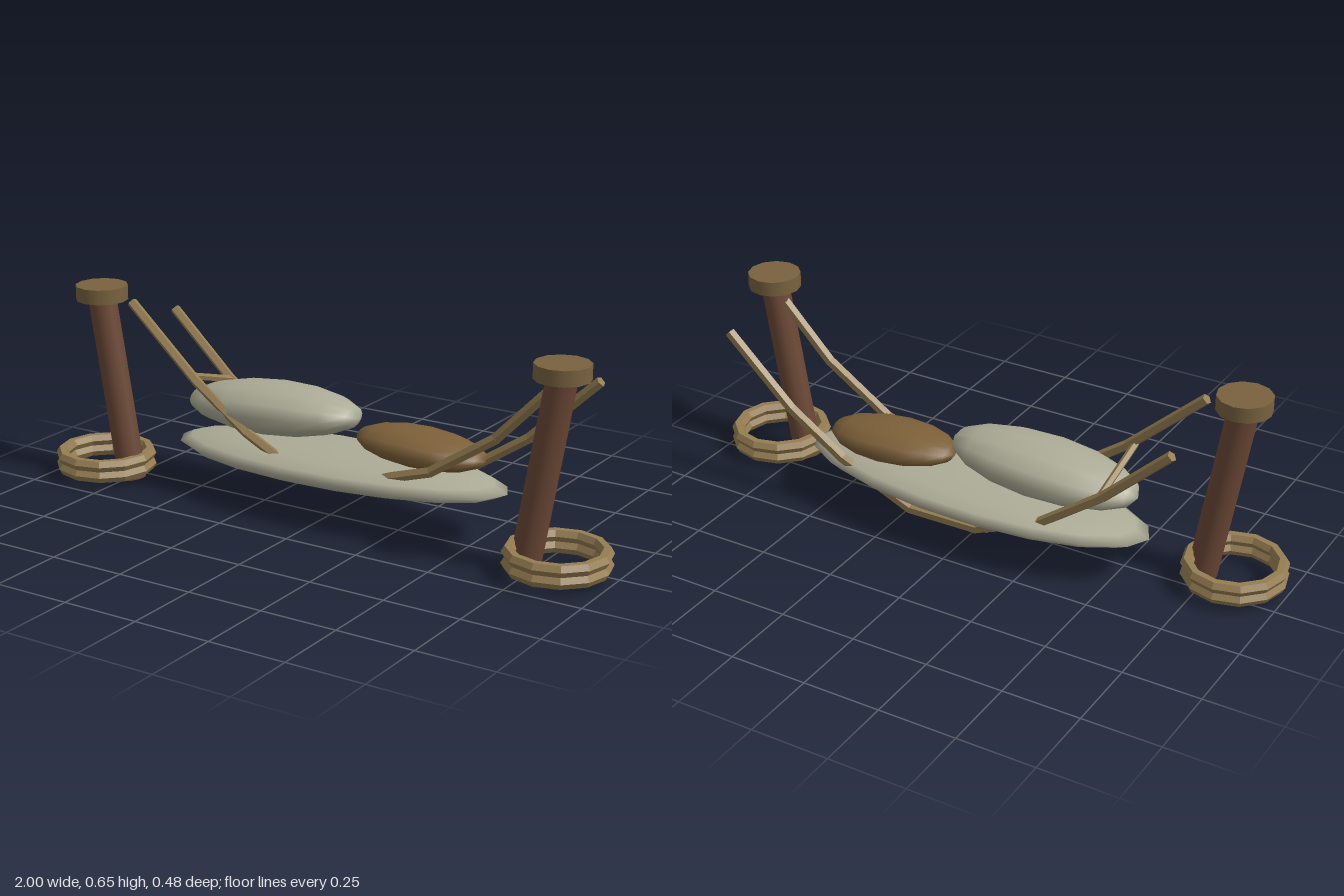
import * as THREE from 'three';

const material = (name, color) => {
  const m = new THREE.MeshStandardMaterial({ color });
  m.name = name;
  return m;
};

export function createModel() {
  const model = new THREE.Group();
  model.name = 'hammock';
  const wood = material('dark wood', 0x6b4836);
  const rope = material('rope tan', 0x957d52);
  const capWood = material('cap brown', 0x79623f);
  const cloth = material('pale cloth', 0xadac97);
  const brown = material('brown pillow', 0x7d6039);

  const add = (name, geo, mat, x = 0, y = 0, z = 0, parent = model) => {
    const mesh = new THREE.Mesh(geo, mat);
    mesh.name = name;
    mesh.position.set(x, y, z);
    parent.add(mesh);
    return mesh;
  };

  // Straight bar between two points
  const bar = (name, a, b, r, sides, mat, parent = model, extend = 0) => {
    const p = new THREE.Vector3(...a), q = new THREE.Vector3(...b);
    const dir = q.clone().sub(p);
    let geo = new THREE.CylinderGeometry(r, r, dir.length() + extend, sides);
    if (sides < 8) {
      geo = geo.toNonIndexed();
      geo.computeVertexNormals();
    }
    const mid = p.add(q).multiplyScalar(0.5);
    const mesh = add(name, geo, mat, mid.x, mid.y, mid.z, parent);
    mesh.quaternion.setFromUnitVectors(new THREE.Vector3(0, 1, 0), dir.normalize());
    return mesh;
  };

  // Leaning posts with caps and a pair of stacked rope rings at the foot
  for (const s of [-1, 1]) {
    const support = new THREE.Group();
    support.name = s > 0 ? 'leftSupport' : 'rightSupport';
    model.add(support);
    bar('post', [s * 0.728, 0.008, 0.075], [s * 0.83, 0.61, 0.075], 0.047, 10, wood, support);
    add('postCap', new THREE.CylinderGeometry(0.085, 0.085, 0.048, 12), capWood, s * 0.83, 0.626, 0.075, support);
    for (const y of [0.041, 0.077]) {
      const ring = new THREE.TorusGeometry(0.145, 0.021, 6, 12).rotateX(Math.PI / 2).toNonIndexed();
      ring.computeVertexNormals();
      add('footRing', ring, rope, s * 0.834, y, 0.075, support);
    }
  }

  // Sagging ropes, front and back
  const ropes = {
    frontRope: [0.07, [[-0.71, 0.605], [-0.46, 0.38], [-0.27, 0.245], [-0.1, 0.16],
      [0.14, 0.15], [0.27, 0.2], [0.4, 0.24], [0.62, 0.385], [0.81, 0.58]]],
    backRope: [-0.165, [[-0.715, 0.53], [-0.5, 0.33], [-0.28, 0.17], [-0.07, 0.088],
      [0.17, 0.086], [0.42, 0.195], [0.61, 0.32], [0.835, 0.532]]],
  };
  for (const [name, [z, pts]] of Object.entries(ropes)) {
    const group = new THREE.Group();
    group.name = name;
    model.add(group);
    for (let i = 1; i < pts.length; i++) {
      bar('ropeSegment', [...pts[i - 1], z], [...pts[i], z], 0.017, 5, rope, group, 0.008);
    }
  }

  // Cross ropes joining the two
  bar('upperCrossRope', [-0.49, 0.395, 0.07], [-0.49, 0.325, -0.165], 0.012, 5, rope);
  bar('lowerCrossRope', [-0.1, 0.145, 0.07], [-0.1, 0.09, -0.165], 0.012, 5, rope);

  // Cloth bed and two pillows as stretched spheres; pillows have their poles along x
  const bed = add('clothBed', new THREE.SphereGeometry(1, 18, 8).scale(0.602, 0.056, 0.198), cloth, 0, 0.161, -0.045);
  bed.rotation.z = 0.017;
  const pillow = (name, mat, pos, size, tilt) => {
    const geo = new THREE.SphereGeometry(1, 12, 8).rotateZ(Math.PI / 2).scale(...size);
    add(name, geo, mat, ...pos).rotation.z = tilt;
  };
  pillow('largePillow', cloth, [-0.242, 0.302, -0.049], [0.32, 0.083, 0.142], 0.05);
  pillow('smallPillow', brown, [0.285, 0.257, -0.073], [0.224, 0.058, 0.118], -0.035);

  return model;
}
